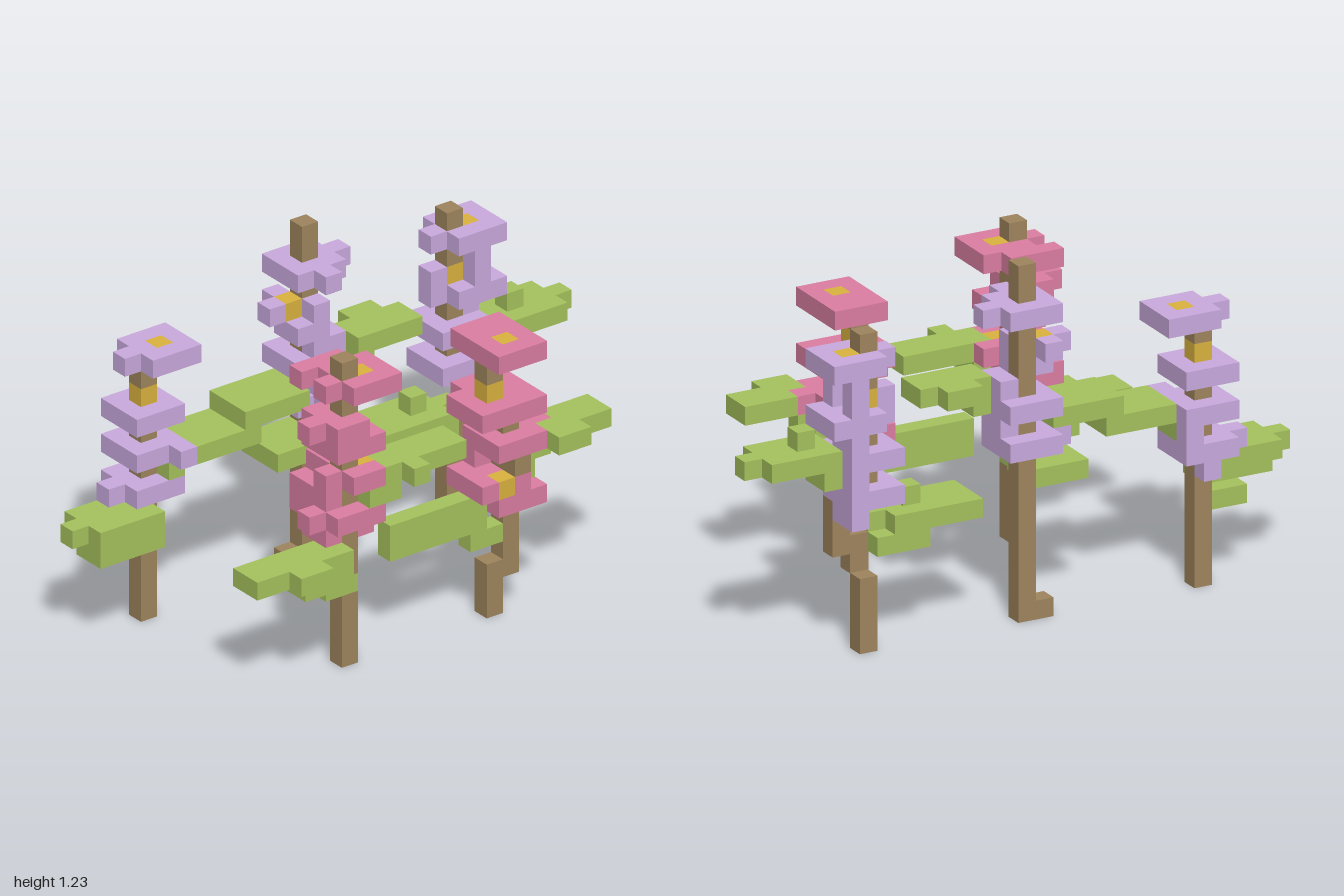
import * as THREE from 'three';
import { mergeGeometries } from 'three/addons/utils/BufferGeometryUtils.js';

const U = 2 / 31; // edge of one cube; the grid is 31 x 19 x 14

// Collects the cubes of one plant; a cube set later replaces an earlier one.
class Plant {
  constructor(name, petalMaterial, z) {
    Object.assign(this, { name, petalMaterial, z, grid: new Map() });
  }

  fill(part, x0, x1, y0, y1, z0, z1) {
    for (let x = x0; x <= x1; x++)
      for (let y = y0; y <= y1; y++)
        for (let z = z0; z <= z1; z++) this.grid.set(`${x},${y},${z}`, part);
    return this;
  }

  // Upright length of stem, shifted by dz from the row of the plant.
  stem(x, y0, y1, dz = 0) {
    return this.fill('stem', x, x, y0, y1, this.z + dz, this.z + dz);
  }

  // Flat pieces one cube thick, from dz0 to dz1 around the stem row.
  leaf(x0, x1, y, dz0 = 0, dz1 = dz0) {
    return this.fill('leaves', x0, x1, y, y, this.z + dz0, this.z + dz1);
  }

  petal(x0, x1, y, dz0 = 0, dz1 = dz0) {
    return this.fill('petals', x0, x1, y, y, this.z + dz0, this.z + dz1);
  }

  heart(x, y, dz = 0) {
    return this.fill('hearts', x, x, y, y, this.z + dz, this.z + dz);
  }

  // Square flower of 3 x 3 cubes with one longer petal on the left or right.
  flower(x, y, longSide = 0) {
    this.petal(x - 1, x + 1, y, -1, 1);
    return longSide ? this.petal(x + 2 * longSide, x + 2 * longSide, y) : this;
  }

  // One mesh per part, with the cubes joined into rows along x.
  build(materials) {
    const group = new THREE.Group();
    group.name = this.name;
    const rows = { leaves: [], stem: [], petals: [], hearts: [] };
    for (const [key, part] of this.grid) {
      const [x, y, z] = key.split(',').map(Number);
      if (this.grid.get(`${x - 1},${y},${z}`) === part) continue;
      let n = 1;
      while (this.grid.get(`${x + n},${y},${z}`) === part) n++;
      const box = new THREE.BoxGeometry(n * U, U, U);
      box.translate((x + n / 2) * U - 1, (y + 0.5) * U, (z - 6.5) * U);
      rows[part].push(box);
    }
    for (const [part, boxes] of Object.entries(rows)) {
      const mesh = new THREE.Mesh(mergeGeometries(boxes), materials[part] ?? this.petalMaterial);
      mesh.name = part;
      group.add(mesh);
    }
    return group;
  }
}

function backLeftPlant(purple) {
  const p = new Plant('backLeftPlant', purple, 1);
  // low leaf to the left, rising leaf to the right
  p.leaf(1, 4, 6, 0, 2).leaf(0, 0, 6, 1).leaf(1, 4, 5, 1, 2).leaf(3, 4, 4);
  p.leaf(6, 6, 8, 0, 1).leaf(7, 10, 9, 0, 2).leaf(10, 13, 10, 0, 2);
  // flowers up the stem
  p.stem(5, 0, 13);
  for (const y of [7, 9, 11]) p.flower(5, y);
  p.petal(3, 3, 7).petal(5, 5, 6, -1).petal(6, 6, 8, -1).petal(6, 6, 9, 2);
  p.flower(6, 14, -1).heart(6, 14).heart(5, 12);
  return p;
}

function backMiddlePlant(purple) {
  const p = new Plant('backMiddlePlant', purple, 1);
  // high leaf to the right, short leaf to the left
  p.leaf(16, 20, 12, 1).leaf(17, 20, 12, 2).leaf(18, 19, 12).leaf(17, 17, 11, 1, 2);
  p.leaf(12, 14, 7, 0, 2);
  // petals up the stem
  for (const y of [9, 11, 16]) p.flower(15, y);
  for (const y of [10, 12]) p.petal(15, 16, y, 1).petal(16, 16, y);
  for (const y of [9, 16]) p.petal(15, 15, y, 2);
  p.petal(13, 13, 9).petal(17, 17, 16);
  p.petal(14, 15, 13, 1).petal(14, 14, 13);
  p.petal(13, 13, 14).petal(15, 15, 14, 1).petal(14, 14, 14, -1);
  p.stem(15, 0, 18).stem(14, 0, 0).heart(14, 14);
  return p;
}

function backRightPlant(purple) {
  const p = new Plant('backRightPlant', purple, 1);
  // leaf to the right, low leaf to the left
  p.leaf(26, 29, 10, 0, 2).leaf(30, 30, 10, 1).leaf(27, 27, 11, 1).leaf(25, 26, 9, 0, 1);
  p.leaf(18, 22, 6, 0, 2).leaf(23, 23, 6, 1).leaf(21, 23, 5, 0, 1).leaf(21, 21, 7, 1);
  // petals up the stem
  p.flower(24, 8).flower(24, 10).flower(25, 12, -1).flower(25, 15, -1);
  for (const y of [7, 9, 11]) p.petal(25, 25, y, -1, 0);
  for (const y of [13, 14]) p.petal(25, 25, y, -1).petal(25, 25, y, 1);
  p.petal(23, 23, 13);
  // stem with a jog
  p.stem(24, 0, 3).stem(24, 4, 5, 1).stem(25, 5, 7, 1).stem(24, 8, 16);
  p.heart(25, 15).heart(24, 13);
  return p;
}

function frontLeftPlant(pink) {
  const p = new Plant('frontLeftPlant', pink, 11);
  // flowers up the stem
  p.flower(10, 8, -1).flower(11, 10, -1).flower(10, 12).flower(11, 15, -1);
  for (const y of [8, 9, 15]) p.petal(9, 11, y, -2);
  for (const y of [7, 10]) p.petal(10, 10, y, -2);
  p.petal(9, 11, 7, -1).petal(9, 11, 7).petal(9, 11, 9, -1, 0);
  p.petal(10, 11, 12, -2).petal(9, 10, 13, -1, 1).petal(8, 8, 13);
  p.stem(10, 0, 16);
  // drooping leaf to the left, rising leaf to the right
  p.leaf(4, 9, 6, 0, 1).leaf(6, 7, 6, 2).leaf(7, 9, 5, 0, 1).leaf(9, 10, 4);
  p.leaf(11, 12, 9, 0, 1).leaf(12, 16, 10, 0, 1).leaf(13, 13, 10, 2);
  p.heart(11, 15).heart(11, 10);
  return p;
}

function frontRightPlant(pink) {
  const p = new Plant('frontRightPlant', pink, 11);
  // hanging leaf to the left, rising leaf to the right
  p.leaf(13, 18, 6).leaf(13, 18, 5).leaf(18, 19, 4);
  p.leaf(22, 25, 9, 0, 1).leaf(22, 23, 9, 2).leaf(21, 22, 8).leaf(21, 21, 7);
  // stem with a jog
  p.stem(19, 0, 2).stem(20, 2, 10).stem(20, 8, 8, 1).stem(19, 11, 13);
  // flowers up the stem
  for (const y of [6, 11, 14]) p.flower(20, y);
  p.flower(20, 9, 1);
  for (const y of [11, 14]) p.petal(19, 21, y, -2);
  p.petal(18, 18, 11, -1, 1).petal(19, 19, 8, -1).petal(18, 19, 7, -1, 1).petal(20, 20, 7, 1);
  p.heart(20, 14).heart(19, 12).heart(19, 7, 1);
  return p;
}

function material(name, color) {
  const m = new THREE.MeshStandardMaterial({ color });
  m.name = name;
  return m;
}

export function createModel() {
  const shared = {
    stem: material('stem brown', 0xa0865e),
    leaves: material('leaf green', 0xa7c45e),
    hearts: material('heart gold', 0xdcb440),
  };
  const pink = material('petal pink', 0xdd7fa3);
  const purple = material('petal purple', 0xcbabe0);

  const model = new THREE.Group();
  model.name = 'floweringPlants';
  for (const make of [backLeftPlant, backMiddlePlant, backRightPlant])
    model.add(make(purple).build(shared));
  for (const make of [frontLeftPlant, frontRightPlant])
    model.add(make(pink).build(shared));
  return model;
}
